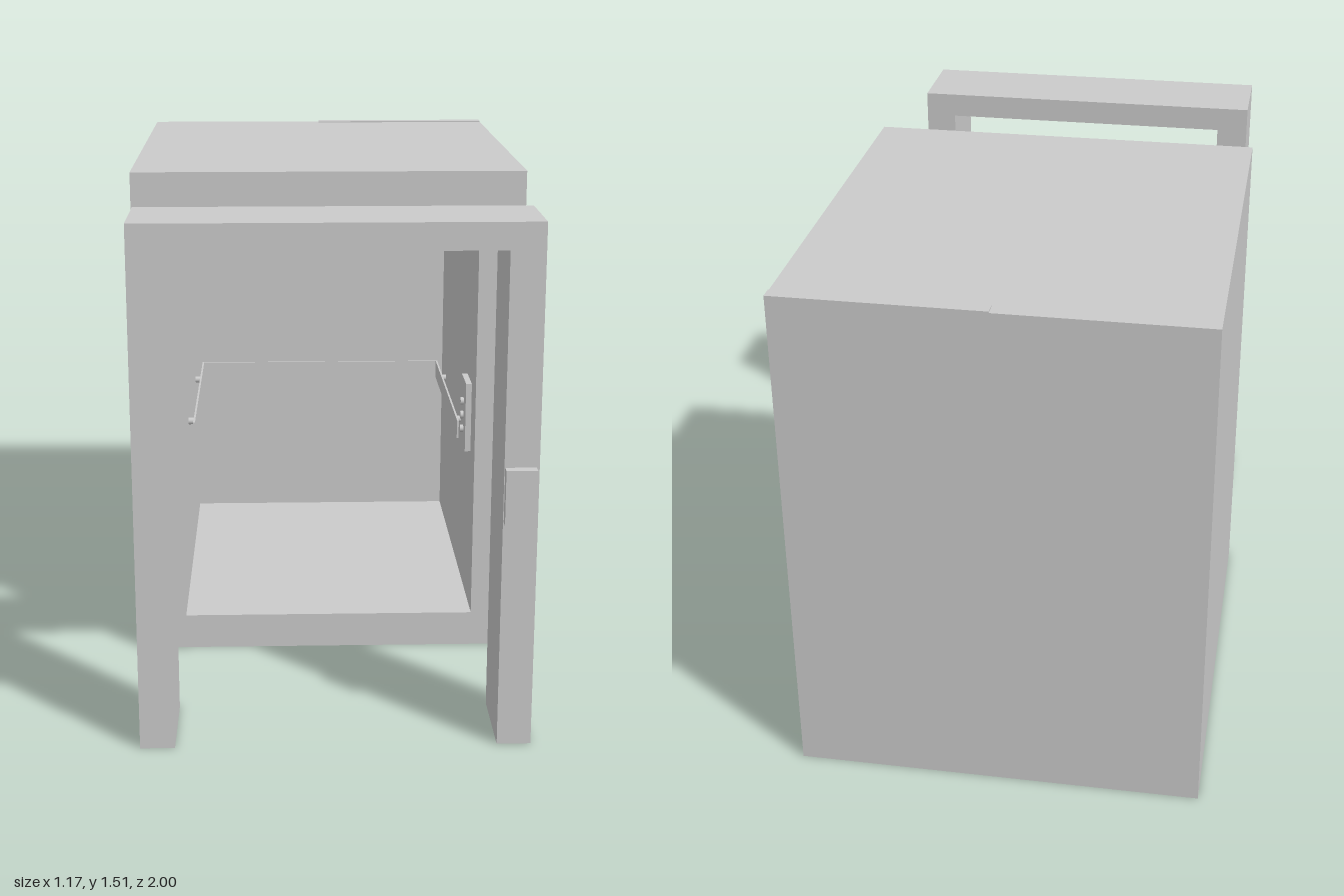
import * as THREE from 'three';

const material = new THREE.MeshStandardMaterial({ color: 0xcccccc, flatShading: true });
const smooth = new THREE.MeshStandardMaterial({ color: 0xcccccc });

export function createModel() {
  const model = new THREE.Group();
  model.name = 'elevator';

  const add = (parent, name, geometry, mat = material) => {
    const mesh = new THREE.Mesh(geometry, mat);
    mesh.name = name;
    parent.add(mesh);
    return mesh;
  };
  // Box given by its limits on each axis
  const box = (parent, name, [x0, x1], [y0, y1], [z0, z1]) => {
    const mesh = add(parent, name, new THREE.BoxGeometry(x1 - x0, y1 - y0, z1 - z0));
    mesh.position.set((x0 + x1) / 2, (y0 + y1) / 2, (z0 + z1) / 2);
    return mesh;
  };
  // Short round peg along x or z
  const peg = (parent, name, axis, radius, length, x, y, z) => {
    const geometry = new THREE.CylinderGeometry(radius, radius, length, 16);
    if (axis === 'x') geometry.rotateZ(Math.PI / 2);
    else geometry.rotateX(Math.PI / 2);
    add(parent, name, geometry, smooth).position.set(x, y, z);
  };
  const group = (name) => {
    const g = new THREE.Group();
    g.name = name;
    model.add(g);
    return g;
  };
  const polygon = (Type, points) => new Type(points.map(([x, y]) => new THREE.Vector2(x, y)));

  // Cab: walls, floor and ceiling as one tube, closed by a thick back wall
  const cab = group('cab');
  const back = -0.8, front = 0.28, inner = 0.45;
  const section = polygon(THREE.Shape, [[-0.587, 0], [0.587, 0], [0.587, 1.51], [-0.587, 1.51]]);
  section.holes.push(polygon(THREE.Path, [[-inner, 0.108], [-inner, 1.403], [inner, 1.403], [inner, 0.108]]));
  add(cab, 'cabShell', new THREE.ExtrudeGeometry(section, { depth: front - back, bevelEnabled: false }))
    .position.z = back;
  box(cab, 'backWall', [-0.587, 0.587], [0, 1.51], [-1, back]);
  box(cab, 'roofStrip', [0, 0.587], [1.505, 1.514], [-1, -0.962]);

  // Handrails: thin bars held off the back and side walls by pegs
  const rails = group('handrails');
  const railY = [0.6, 0.66];
  box(rails, 'backRail', [-0.43, 0.43], railY, [back + 0.02, back + 0.026]);
  for (const x of [-0.3, 0.3]) peg(rails, 'backRailPeg', 'z', 0.011, 0.022, x, 0.63, back + 0.01);
  for (const side of [-1, 1]) {
    const limits = [side * 0.424, side * 0.43].sort((a, b) => a - b);
    box(rails, 'sideRail', limits, railY, [back + 0.02, 0]);
    for (const z of [-0.65, -0.12]) peg(rails, 'sideRailPeg', 'x', 0.011, 0.022, side * 0.44, 0.63, z);
  }

  // Control panel on the left wall, with a column of buttons
  const panel = group('controlPanel');
  box(panel, 'panelPlate', [0.432, inner], [0.608, 0.828], [0.04, 0.17]);
  for (const y of [0.665, 0.71, 0.755]) peg(panel, 'panelButton', 'x', 0.012, 0.012, 0.428, y, 0.105);

  // Free-standing landing door frame
  const frame = group('doorFrame');
  const arch = polygon(THREE.Shape, [
    [-0.547, 0], [-inner, 0], [-inner, 1.403], [inner, 1.403],
    [inner, 0], [0.545, 0], [0.545, 1.478], [-0.547, 1.478],
  ]);
  add(frame, 'frameArch', new THREE.ExtrudeGeometry(arch, { depth: 0.26, bevelEnabled: false }))
    .position.z = 0.712;
  box(frame, 'callBox', [0.452, 0.537], [0.657, 0.812], [0.97, 1]);

  return model;
}
